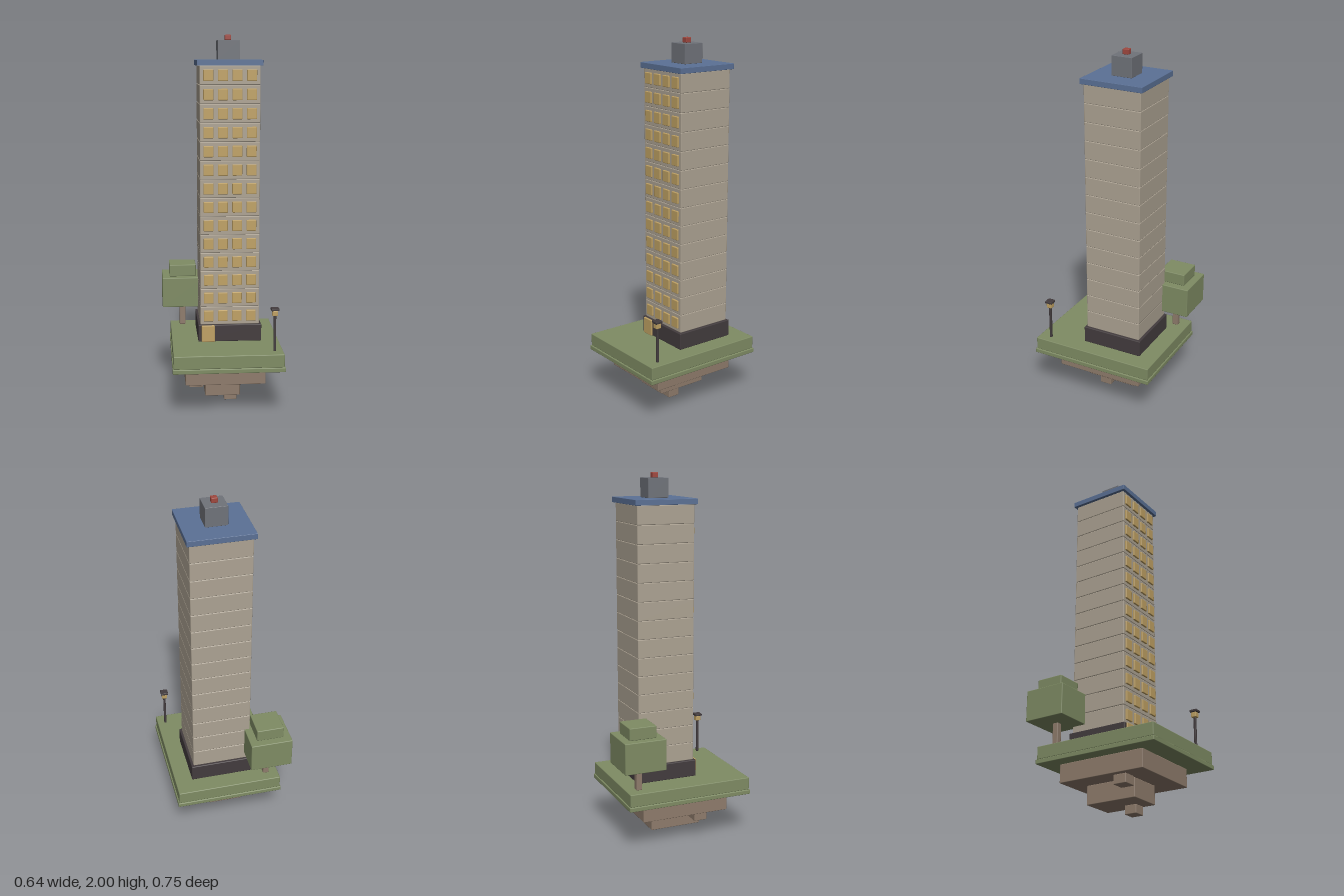
import * as THREE from 'three';
import { RoundedBoxGeometry } from 'three/addons/geometries/RoundedBoxGeometry.js';

function paint(name, color) {
  const m = new THREE.MeshStandardMaterial({ color });
  m.name = name;
  return m;
}

export function createModel() {
  const grass = paint('grass green', 0x7f8c64);
  const soil = paint('soil brown', 0x8f7c6c);
  const wall = paint('wall beige', 0xada393);
  const gold = paint('window gold', 0xc0a264);
  const dark = paint('dark charcoal', 0x433c3e);
  const blue = paint('roof blue', 0x5b7196);
  const grey = paint('plant grey', 0x70737a);
  const red = paint('beacon red', 0xa0483f);

  const model = new THREE.Group();
  model.name = 'towerIsland';

  function group(name) {
    const g = new THREE.Group();
    g.name = name;
    model.add(g);
    return g;
  }

  // Slightly bevelled box given by its extents on each axis
  function block(parent, name, mat, [x0, x1], [y0, y1], [z0, z1], bevel = 0.004) {
    const w = x1 - x0, h = y1 - y0, d = z1 - z0;
    const r = Math.min(bevel, Math.min(w, h, d) * 0.2);
    const mesh = new THREE.Mesh(new RoundedBoxGeometry(w, h, d, 1, r), mat);
    mesh.position.set((x0 + x1) / 2, (y0 + y1) / 2, (z0 + z1) / 2);
    mesh.name = name;
    parent.add(mesh);
    return mesh;
  }
  const span = (c, size) => [c - size / 2, c + size / 2];

  // Floating island: two grass slabs over stepped soil
  const island = group('island');
  block(island, 'grassTop', grass, [-0.273, 0.311], [0.275, 0.345], [-0.333, 0.369]);
  block(island, 'grassRim', grass, [-0.278, 0.317], [0.25, 0.275], [-0.338, 0.375]);
  block(island, 'soilUpper', soil, [-0.207, 0.223], [0.15, 0.25], [-0.234, 0.265]);
  block(island, 'soilLower', soil, [-0.095, 0.095], [0.048, 0.15], [-0.143, 0.148]);
  block(island, 'soilTip', soil, [0.013, 0.082], [0, 0.048], [0.016, 0.085]);
  block(island, 'soilLump', soil, [-0.183, -0.108], [0.1, 0.15], [0.078, 0.153]);

  // Tower: dark ground floor, then stacked storeys with a window row on the front
  const cx = 0.043, cz = -0.063;
  const tower = group('tower');
  block(tower, 'groundFloor', dark, span(cx, 0.346), [0.345, 0.438], span(cz, 0.346));
  block(tower, 'door', gold, [-0.112, -0.04], [0.345, 0.437], [0.1, 0.119]);
  const floors = 14, floorHeight = 0.1, firstFloor = 0.438;
  for (let i = 0; i < floors; i++) {
    const y = firstFloor + i * floorHeight;
    block(tower, 'storey', wall, span(cx, 0.322), [y, y + floorHeight], span(cz, 0.322));
    for (let j = 0; j < 4; j++) {
      const x = cx + (j - 1.5) * 0.077;
      block(tower, 'window', gold, span(x, 0.053), span(y + floorHeight / 2, 0.06), [0.088, 0.107]);
    }
  }

  // Roof slab with plant room and beacon
  const roof = group('roof');
  block(roof, 'roofSlab', blue, span(cx, 0.35), [1.838, 1.868], span(cz, 0.35), 0.002);
  block(roof, 'plantRoom', grey, span(cx, 0.116), [1.868, 1.972], span(cz, 0.116), 0.002);
  block(roof, 'beacon', red, span(cx, 0.034), [1.972, 2], span(cz, 0.034));

  // Tree behind the tower
  const tx = -0.204, tz = -0.262;
  const tree = group('tree');
  block(tree, 'trunk', soil, span(tx, 0.033), [0.345, 0.48], span(tz, 0.033));
  block(tree, 'foliage', grass, span(tx, 0.232), [0.475, 0.645], span(tz, 0.232));
  block(tree, 'foliageTop', grass, span(tx, 0.151), [0.645, 0.712], span(tz, 0.151));

  // Street lamp at the front corner
  const lx = 0.265, lz = 0.3;
  const lamp = group('streetLamp');
  block(lamp, 'lampPost', dark, span(lx, 0.013), [0.345, 0.54], span(lz, 0.013));
  block(lamp, 'lampLight', gold, span(lx, 0.031), [0.538, 0.567], span(lz, 0.031));
  block(lamp, 'lampCap', dark, span(lx, 0.042), [0.567, 0.58], span(lz, 0.042));

  return model;
}
